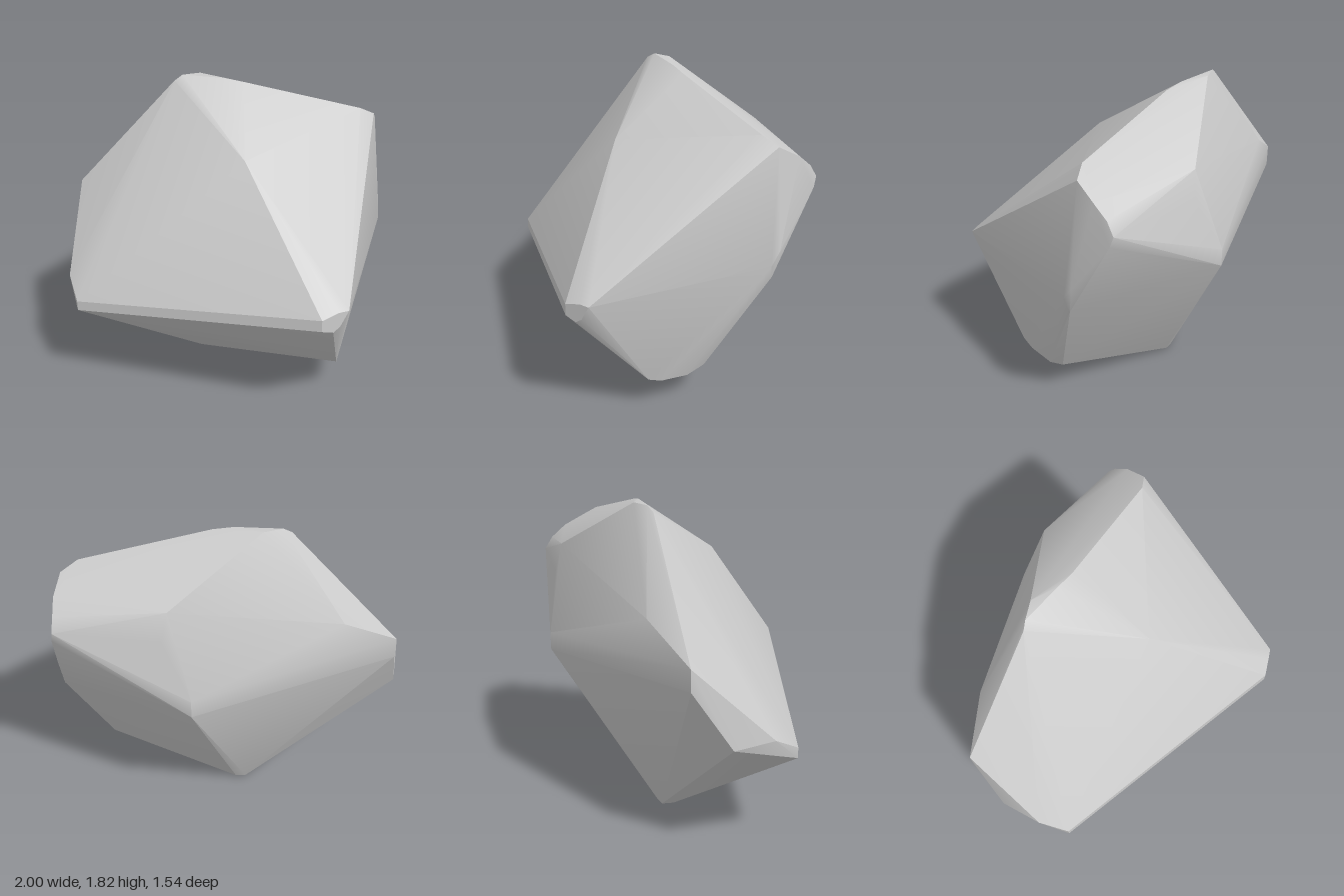
import * as THREE from 'three';
import { ConvexGeometry } from 'three/addons/geometries/ConvexGeometry.js';
import { toCreasedNormals } from 'three/addons/utils/BufferGeometryUtils.js';

// Corners of the boulder, grouped by region; the rock is their convex hull.
const corners = {
  frontTip: [[0.14, 0.79, 0.77], [0.14, 0.72, 0.77], [0.24, 0.82, 0.77], [0.30, 0.82, 0.77], [0.25, 0.73, 0.77], [0.21, 0.70, 0.77]],
  leftTip: [[-1, 0.56, -0.20], [-1, 0.62, -0.20], [-1, 0.71, -0.37], [-0.93, 0.70, -0.60]],
  crown: [[-0.25, 1.79, -0.53], [-0.20, 1.82, -0.53], [-0.09, 1.82, -0.53], [0.02, 1.81, -0.41], [0.12, 1.79, -0.36], [-0.04, 1.48, 0.08]],
  rightShoulder: [[0.78, 1.62, -0.13], [0.88, 1.57, -0.14], [0.95, 1.50, -0.25], [0.98, 1.43, -0.33], [1, 1.36, -0.37], [1, 1.30, -0.35]],
  rightEdge: [[0.94, 0.98, -0.12], [0.92, 0.90, -0.07], [0.91, 0.82, -0.10]],
  lowerRight: [[0.43, 0.22, 0.40], [0.47, 0.19, 0.33], [0.55, 0.18, 0.18], [0.60, 0.22, 0.08]],
  base: [[-0.18, 0.03, -0.35], [-0.10, 0, -0.37], [-0.04, 0.01, -0.36]],
  back: [[-0.80, 1.14, -0.77], [-0.80, 1.02, -0.77], [-0.47, 1.32, -0.77], [0.39, 1.04, -0.77], [0.39, 0.94, -0.77], [0.46, 1.52, -0.62], [0.50, 1.36, -0.64]],
};

export function createModel() {
  const group = new THREE.Group();
  group.name = 'boulder';

  const points = Object.values(corners).flat().map((p) => new THREE.Vector3(...p));
  // Broad facets stay crisp while the small worn corners blend together.
  const geometry = toCreasedNormals(new ConvexGeometry(points), 0.45);

  const rock = new THREE.Mesh(geometry, new THREE.MeshStandardMaterial({ color: 0xcccccc }));
  rock.name = 'rock';
  group.add(rock);
  return group;
}
